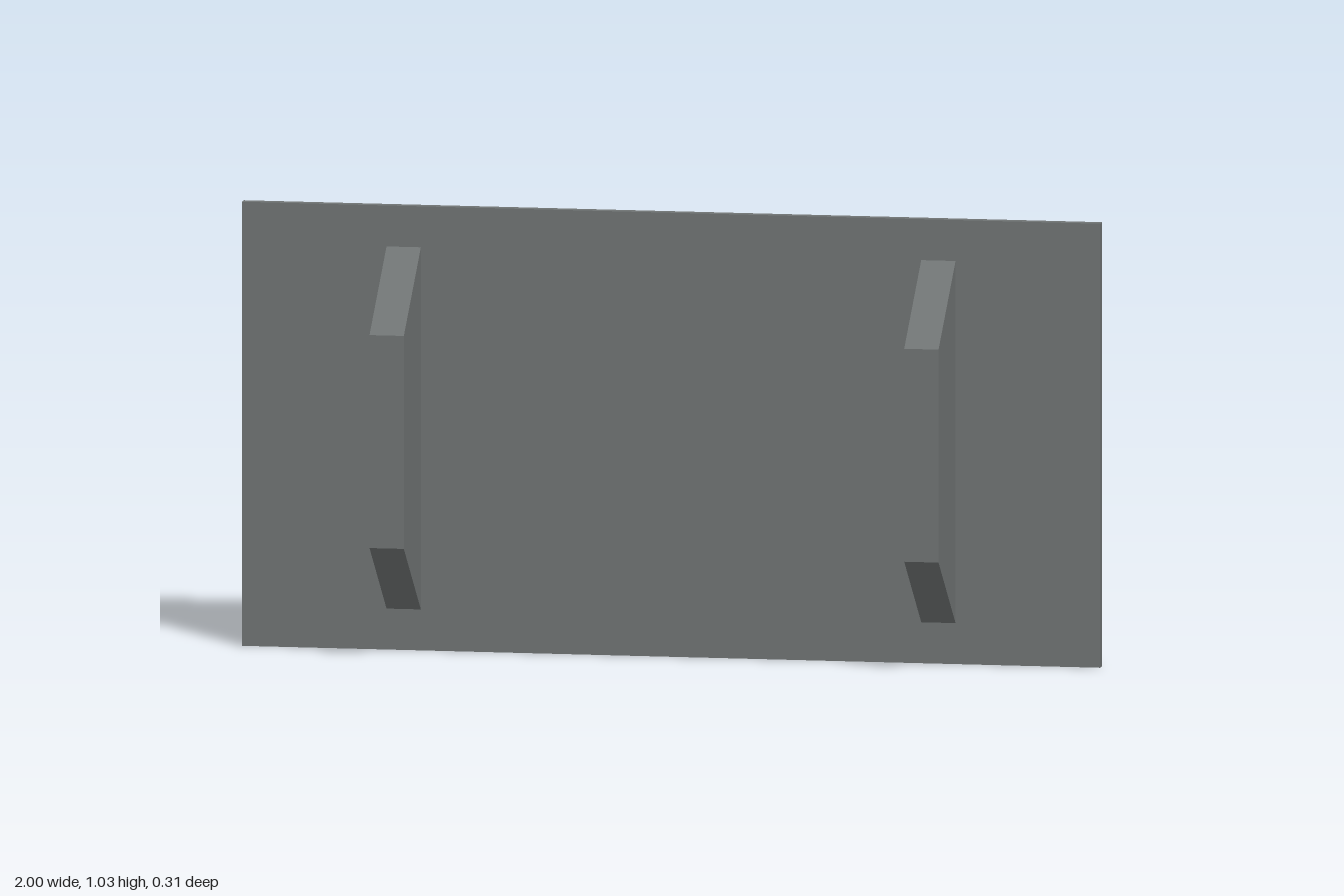
import * as THREE from 'three';

export function createModel() {
  const model = new THREE.Group();
  model.name = 'wallPanel';
  const grey = new THREE.MeshStandardMaterial({ color: 0x6e7272 });
  grey.name = 'slate grey';

  const height = 1.03, thickness = 0.025, ribWidth = 0.08;

  // Thin upright panel
  const panel = new THREE.Mesh(new THREE.BoxGeometry(2, height, thickness), grey);
  panel.name = 'panel';
  panel.position.y = height / 2;
  model.add(panel);

  // Trapezoid ribs: profile drawn as (depth, height), extruded sideways
  const face = thickness / 2, front = 0.238;
  const profile = new THREE.Shape([
    new THREE.Vector2(face, 0.095),
    new THREE.Vector2(front, 0.268),
    new THREE.Vector2(front, 0.762),
    new THREE.Vector2(face, 0.935),
  ]);
  const ribGeometry = new THREE.ExtrudeGeometry(profile, { depth: ribWidth, bevelEnabled: false });
  ribGeometry.translate(0, 0, -ribWidth / 2);
  ribGeometry.rotateY(-Math.PI / 2);
  for (const side of [-1, 1]) {
    const rib = new THREE.Mesh(ribGeometry, grey);
    rib.name = side < 0 ? 'rightRib' : 'leftRib';
    rib.position.x = side * 0.623;
    model.add(rib);
  }

  // The whole panel stands slightly turned
  const root = new THREE.Group();
  root.name = 'panelWithRibs';
  model.rotation.y = -0.034;
  model.position.z = -0.108;
  root.add(model);
  return root;
}
